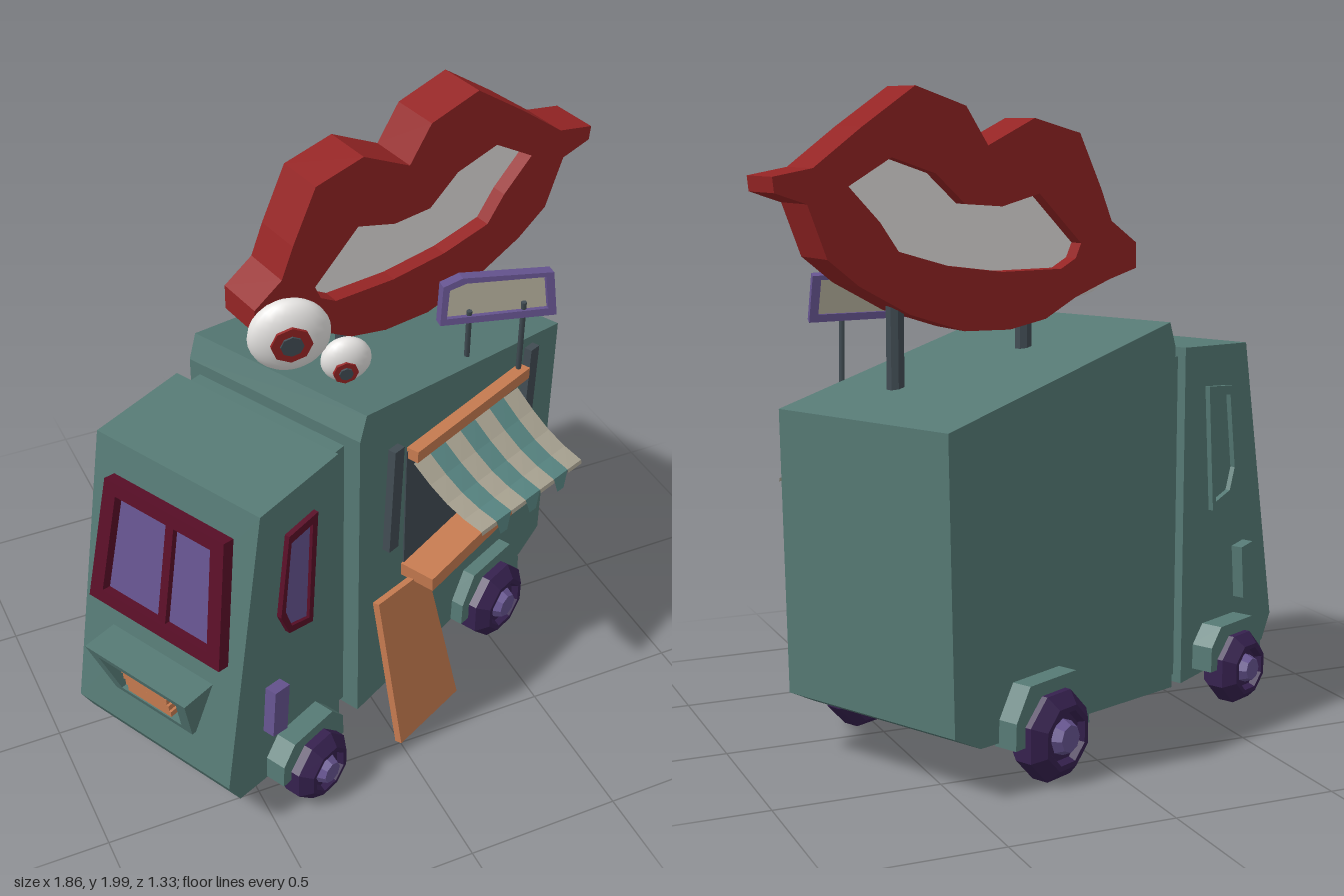
import * as THREE from 'three';

const mat = (name, color, side = THREE.FrontSide) => {
  const m = new THREE.MeshStandardMaterial({ color, side });
  m.name = name;
  return m;
};

export function createModel() {
  const teal = mat('bodyTeal', 0x567a75);
  const slate = mat('darkSlate', 0x414c53);
  const maroon = mat('maroon', 0x5a0f28);
  const red = mat('lipRed', 0x942424);
  const white = mat('white', 0xf2f0ee);
  const cream = mat('cream', 0xb0aa98, THREE.DoubleSide);
  const orange = mat('orange', 0xc67b50);
  const darkPurple = mat('tyrePurple', 0x36214f);
  const purple = mat('purple', 0x665490);
  const awningTeal = mat('awningTeal', 0x5b8a87, THREE.DoubleSide);

  const root = new THREE.Group();
  root.name = 'foodTruck';
  // Truck frame: +x runs to the rear, +z to the serving side
  const truck = new THREE.Group();
  truck.name = 'truck';
  truck.rotation.y = 0.463;
  root.add(truck);

  const add = (parent, name, geo, material, x = 0, y = 0, z = 0) => {
    const m = new THREE.Mesh(geo, material);
    m.name = name;
    m.position.set(x, y, z);
    parent.add(m);
    return m;
  };
  const box = (w, h, d) => new THREE.BoxGeometry(w, h, d);
  const flat = (g) => {
    const f = g.index ? g.toNonIndexed() : g;
    f.computeVertexNormals();
    return f;
  };
  const vecs = (pts) => pts.map(([x, y]) => new THREE.Vector2(x, y));
  const extrude = (pts, depth, hole) => {
    const s = new THREE.Shape(vecs(pts));
    if (hole) s.holes.push(new THREE.Path(vecs(hole)));
    return new THREE.ExtrudeGeometry(s, { depth, bevelEnabled: false });
  };
  // Shrinks an outline towards its centre
  const inset = (pts, kx, ky = kx) => {
    const cx = pts.reduce((a, p) => a + p[0], 0) / pts.length;
    const cy = pts.reduce((a, p) => a + p[1], 0) / pts.length;
    return pts.map(([x, y]) => [cx + (x - cx) * kx, cy + (y - cy) * ky]);
  };

  // Bodywork
  add(truck, 'kitchenBody', extrude([[-0.265, 0.1], [0.66, 0.145], [0.768, 0.2], [0.787, 1.065],
    [-0.235, 1.28], [-0.265, 1.2]], 0.67), teal, 0, 0, -0.37);
  add(truck, 'cab', extrude([[-0.858, 0.22], [-0.81, 0.135], [-0.33, 0.095], [-0.335, 1.19],
    [-0.68, 1.175]], 0.635), teal, 0, 0, -0.36);
  add(truck, 'neck', box(0.12, 1.04, 0.57), teal, -0.3, 0.64, -0.045);

  // Windscreen on the sloping nose
  const nose = new THREE.Group();
  nose.name = 'windscreen';
  nose.rotation.order = 'YXZ';
  nose.rotation.set(-0.183, -Math.PI / 2, 0);
  nose.position.set(-0.742, 0.85, -0.045);
  truck.add(nose);
  const screen = [[-0.265, -0.21], [0.265, -0.21], [0.235, 0.22], [-0.235, 0.22]];
  add(nose, 'windscreenFrame', extrude(screen, 0.05, inset(screen, 0.8)), maroon, 0, 0, -0.01);
  add(nose, 'windscreenGlass', extrude(inset(screen, 0.82), 0.009), purple);
  add(nose, 'windscreenDivider', box(0.03, 0.36, 0.025), maroon, 0.02, 0, 0.015);

  // Flared grille box, deeper at the top
  const grille = new THREE.Group();
  grille.name = 'grille';
  grille.rotation.y = -Math.PI / 2;
  grille.position.set(-0.78, 0.35, -0.035);
  truck.add(grille);
  const grilleOutline = [[-0.16, 0], [0.16, 0], [0.205, 0.2], [-0.205, 0.2]];
  const hood = extrude(grilleOutline, 0.14, inset(grilleOutline, 0.78, 0.74));
  const hp = hood.attributes.position;
  for (let i = 0; i < hp.count; i++) {
    if (hp.getZ(i) > 0.01) hp.setZ(i, 0.07 + (hp.getY(i) / 0.2) * 0.07);
  }
  add(grille, 'grilleHood', flat(hood), teal);
  for (let i = 0; i < 4; i++) add(grille, 'grilleBar', box(0.18, 0.02, 0.05), orange, 0, 0.052 + i * 0.032, 0.06 + i * 0.008);

  // Cab side windows and handles, painted only on the serving side
  const win = [[-0.62, 0.76], [-0.584, 0.675], [-0.476, 0.645], [-0.447, 1.055], [-0.577, 1.045]];
  const pane = inset(win, 0.74, 0.86);
  add(truck, 'sideWindowFrame', extrude(win, 0.02, pane), maroon, 0, 0, 0.272);
  add(truck, 'sideWindowGlass', extrude(pane, 0.009), purple, 0, 0, 0.272);
  add(truck, 'farWindowFrame', extrude(win, 0.02, pane), teal, 0, 0, -0.377);
  const handle = [[-0.695, 0.34], [-0.63, 0.325], [-0.615, 0.5], [-0.68, 0.51]];
  add(truck, 'sideHandle', extrude(handle, 0.045), purple, 0, 0, 0.27);
  add(truck, 'farHandle', extrude(handle, 0.045), teal, 0, 0, -0.4);

  // Wheels and arches
  const wheel = (name, x, r, side) => {
    const g = new THREE.Group();
    g.name = name;
    g.rotation.x = side * Math.PI / 2;
    g.position.set(x, r, side > 0 ? 0.29 : -0.37);
    truck.add(g);
    const t = 0.12;
    const profile = [[0, 0], [0.82 * r, 0], [r, 0.03], [r, 0.085], [0.72 * r, t], [0.6 * r, t], [0.52 * r, 0.1], [0, 0.1]];
    const tyre = new THREE.LatheGeometry(vecs(profile), 8, Math.PI / 8);
    add(g, 'tyre', flat(tyre), darkPurple);
    add(g, 'hub', flat(new THREE.CylinderGeometry(0.3 * r, 0.42 * r, 0.035, 8)), purple, 0, 0.112, 0);
    const w = r * 1.22;
    const arch = [[-w, 0.13], [w, 0.13], [w * 0.98, 0.21], [w * 0.62, r * 2 + 0.03], [-w * 0.62, r * 2 + 0.03], [-w * 0.98, 0.21]];
    add(truck, 'wheelArch', extrude(arch, 0.08), teal, x, 0, side > 0 ? 0.265 : -0.435);
  };
  for (const side of [1, -1]) {
    wheel('frontWheel', -0.54, 0.12, side);
    wheel('rearWheel', 0.415, 0.138, side);
  }

  // Serving hatch
  add(truck, 'hatchOpening', extrude([[-0.04, 0.58], [0.55, 0.62], [0.55, 1.01], [-0.04, 1.03]], 0.008), slate, 0, 0, 0.297);
  add(truck, 'hatchRail', box(0.6, 0.04, 0.045), orange, 0.265, 1.015, 0.32).rotation.z = -0.03;
  add(truck, 'counter', box(0.61, 0.05, 0.13), orange, 0.257, 0.583, 0.36).rotation.z = 0.07;
  for (const [x, y] of [[-0.115, 0.9], [0.605, 0.88]]) {
    add(truck, 'hatchBar', box(0.045, 0.38, 0.03), slate, x, y, 0.312).rotation.z = -0.05;
  }
  add(truck, 'ramp', extrude([[-0.145, -0.27], [0.16, -0.27], [0.115, 0.255], [-0.13, 0.275]], 0.025), orange, -0.092, 0.285, 0.38)
    .rotation.x = -0.21;

  // Sagging striped awning, teal stripes ending in hanging tabs
  const awning = new THREE.Group();
  awning.name = 'awning';
  truck.add(awning);
  const L = THREE.MathUtils.lerp;
  for (let i = 0; i < 7; i++) {
    const tab = i % 2 === 1;
    const g = new THREE.PlaneGeometry(1, 1, 1, 5);
    const p = g.attributes.position;
    for (let k = 0; k < p.count; k++) {
      const row = Math.round((0.5 - p.getY(k)) * 5);
      const t = Math.min(row / 4, 1);
      const end = row === 5;
      const s = (i + 0.5 + p.getX(k) * (end && tab ? 0.45 : 1)) / 7;
      const drop = end ? (tab ? 0.06 : 0.012) : 0;
      p.setXYZ(k, -0.025 + 0.56 * s,
        L(L(0.985, 0.955, s), L(0.85, 0.785, s), t) - 0.025 * Math.sin(Math.PI * t) - drop,
        L(0.32, 0.58, t) + (end ? 0.004 : 0));
    }
    add(awning, tab ? 'tealStripe' : 'creamStripe', flat(g), tab ? awningTeal : cream);
  }

  // Giant lips with a band of teeth
  const lips = new THREE.Group();
  lips.name = 'lipsSign';
  lips.rotation.y = 0.17;
  lips.position.set(-0.0135, 0, -0.06);
  root.add(lips);
  const lipOutline = [[-0.3, 1.44], [-0.2, 1.41], [-0.07, 1.36], [0.04, 1.3], [0.17, 1.275], [0.33, 1.28], [0.515, 1.34],
    [0.68, 1.43], [0.78, 1.51], [0.84, 1.667], [0.94, 1.7], [0.945, 1.745], [0.82, 1.767], [0.665, 1.88], [0.49, 1.997],
    [0.32, 1.94], [0.245, 1.825], [0.08, 1.905], [-0.085, 1.86], [-0.165, 1.69], [-0.205, 1.59], [-0.3, 1.52]];
  const mouth = [[-0.09, 1.525], [-0.07, 1.48], [-0.016, 1.45], [0.196, 1.45], [0.385, 1.476], [0.55, 1.524], [0.61, 1.61],
    [0.71, 1.714], [0.57, 1.794], [0.425, 1.746], [0.325, 1.655], [0.196, 1.645], [0.063, 1.68]];
  add(lips, 'lips', extrude(lipOutline, 0.165, mouth), red, 0, 0, -0.0825);
  add(lips, 'teeth', extrude(inset(mouth, 1.01), 0.06), white, 0, 0, -0.03);
  add(root, 'rearLipPost', flat(new THREE.CylinderGeometry(0.028, 0.028, 0.35, 8)), slate, 0.505, 1.245, -0.165);
  add(root, 'frontLipPost', flat(new THREE.CylinderGeometry(0.028, 0.028, 0.2, 8)), slate, 0.06, 1.26, -0.085);

  // Small blank menu board on thin poles
  const board = new THREE.Group();
  board.name = 'menuBoard';
  board.position.set(0.492, 1.367, 0.095);
  board.rotation.set(-0.15, -0.19, 0);
  root.add(board);
  const boardOutline = [[-0.187, -0.055], [0.187, -0.08], [0.18, 0.065], [-0.11, 0.092], [-0.172, 0.072]];
  const boardPane = inset(boardOutline, 0.87, 0.74);
  add(board, 'boardFrame', extrude(boardOutline, 0.045, boardPane), purple, 0, 0, -0.022);
  add(board, 'boardFace', extrude(boardPane, 0.02), cream, 0, 0, -0.015);
  for (const x of [-0.09, 0.085]) {
    add(board, 'boardPole', new THREE.CylinderGeometry(0.009, 0.009, 0.27, 6), slate, x, -0.155, -0.02).rotation.x = 0.25;
  }

  // Bulging eyes
  const eye = (name, x, y, z, r, depth, lx, ly) => {
    const g = new THREE.Group();
    g.name = name;
    g.position.set(x, y, z);
    g.rotation.set(0.1, -0.2, 0);
    root.add(g);
    add(g, 'eyeball', new THREE.SphereGeometry(r, 20, 14), white).scale.z = depth / r;
    const disc = (n, k, m, zz) => {
      const c = new THREE.CylinderGeometry(k, k, 0.009, 8);
      c.rotateX(Math.PI / 2);
      add(g, n, flat(c), m, lx, ly, zz);
    };
    disc('iris', r * 0.5, red, depth * 0.98);
    disc('pupil', r * 0.28, slate, depth * 0.98 + 0.006);
  };
  eye('bigEye', -0.217, 1.46, 0.14, 0.125, 0.062, -0.005, 0.01);
  eye('smallEye', -0.053, 1.35, 0.178, 0.077, 0.045, -0.01, -0.015);

  return root;
}
